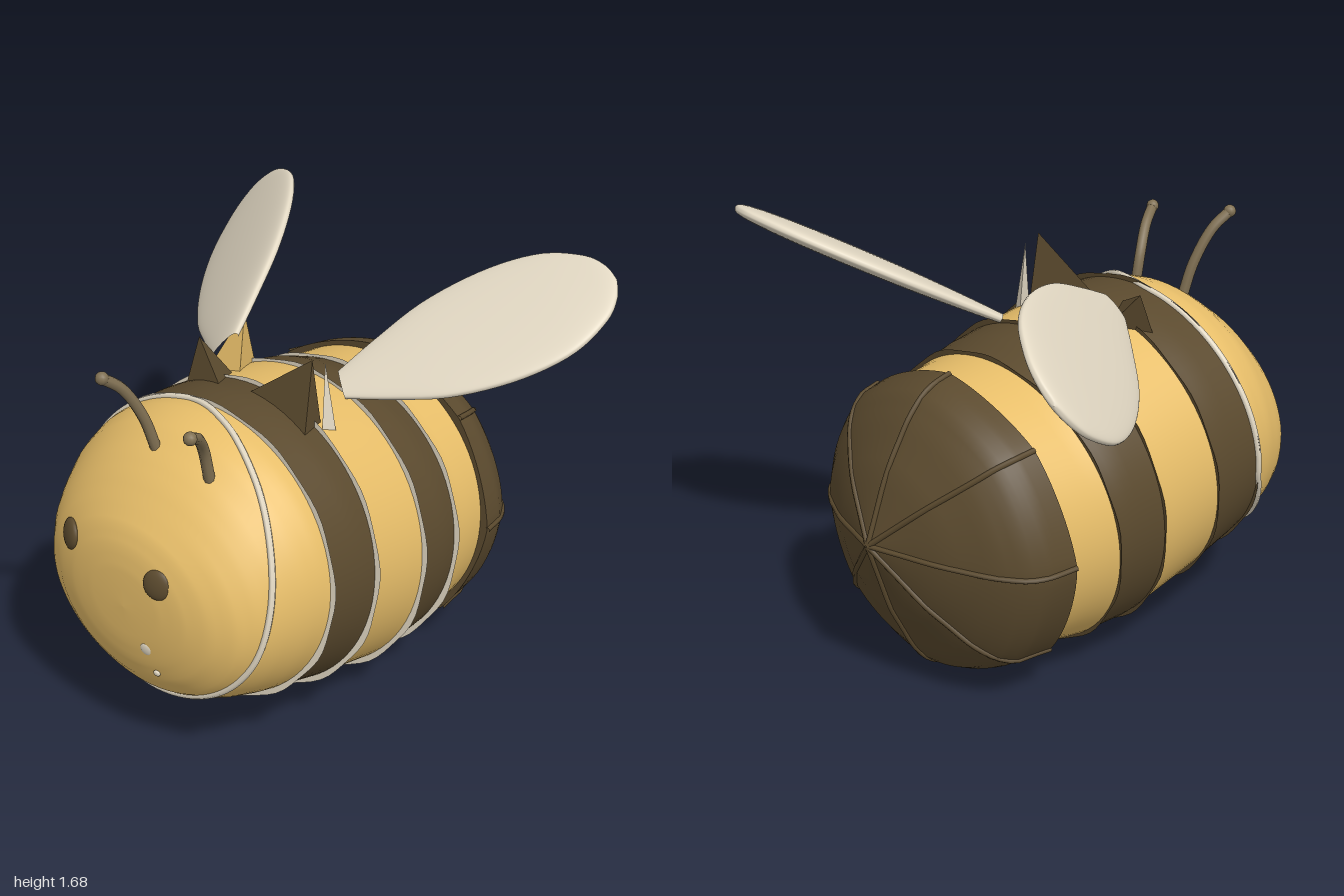
import * as THREE from 'three';
import { ConvexGeometry } from 'three/addons/geometries/ConvexGeometry.js';

const mat = (name, color) => Object.assign(new THREE.MeshStandardMaterial({ color }), { name });

// Body cross-sections from nose to tail: z, centre height, half width, half height
const SECTIONS = [
  [0.92, 0.67, 0, 0], [0.915, 0.67, 0.16, 0.14], [0.9, 0.67, 0.27, 0.23], [0.87, 0.665, 0.37, 0.31],
  [0.82, 0.665, 0.46, 0.38], [0.76, 0.68, 0.515, 0.44], [0.7, 0.695, 0.55, 0.485], [0.6, 0.715, 0.595, 0.54],
  [0.5, 0.72, 0.62, 0.57], [0.3, 0.69, 0.63, 0.605], [0, 0.63, 0.63, 0.62], [-0.2, 0.615, 0.62, 0.6],
  [-0.32, 0.6, 0.6, 0.565], [-0.45, 0.595, 0.58, 0.555], [-0.58, 0.585, 0.565, 0.55], [-0.65, 0.585, 0.53, 0.52],
  [-0.72, 0.59, 0.455, 0.44], [-0.82, 0.605, 0.28, 0.27], [-0.92, 0.62, 0, 0],
];

// Point on the body at depth z and angle a, pushed outward by off
function bodyPoint(z, a, off = 0) {
  let i = 0;
  while (i < SECTIONS.length - 2 && z < SECTIONS[i + 1][0]) i++;
  const A = SECTIONS[i], B = SECTIONS[i + 1];
  const t = THREE.MathUtils.clamp((A[0] - z) / (A[0] - B[0]), 0, 1);
  const [cy, rx, ry] = [1, 2, 3].map(k => A[k] + (B[k] - A[k]) * t);
  return new THREE.Vector3((rx + off) * Math.cos(a), cy + (ry + off) * Math.sin(a), z);
}

// Closed loft of rings; point(t, angle) runs from the first ring to the last
function loft(rows, point, flip = false) {
  const n = 80, pos = [], idx = [];
  for (let i = 0; i <= rows; i++)
    for (let j = 0; j < n; j++) pos.push(...point(i / rows, j / n * Math.PI * 2).toArray());
  for (let i = 0; i < rows; i++)
    for (let j = 0; j < n; j++) {
      const a = i * n + j, b = i * n + (j + 1) % n, c = a + n, d = b + n;
      idx.push(...(flip ? [a, b, c, b, d, c] : [a, c, b, b, c, d]));
    }
  const g = new THREE.BufferGeometry();
  g.setAttribute('position', new THREE.Float32BufferAttribute(pos, 3));
  g.setIndex(idx);
  g.computeVertexNormals();
  return g;
}

export function createModel() {
  const root = new THREE.Group();
  root.name = 'bee';
  const yellow = mat('honey yellow', 0xebc16b);
  const brown = mat('dark brown', 0x5b4a2e);
  const cream = mat('wing cream', 0xe4dac5);
  const horn = mat('antenna brown', 0x7f6f52);

  const add = (name, geo, material, parent = root) => {
    const m = new THREE.Mesh(geo, material);
    m.name = name;
    parent.add(m);
    return m;
  };
  const V = (x, y, z) => new THREE.Vector3(x, y, z);

  // Slanted band boundaries: side depth and lean
  const edges = [[0.5, -0.07], [0.26, -0.07], [-0.025, -0.06], [-0.245, -0.065], [-0.46, -0.05]];
  const edgeZ = (k, a) => edges[k][0] + edges[k][1] * Math.sin(a);

  // Rounded head
  add('head', loft(28, (t, a) => bodyPoint(0.92 + (edgeZ(0, a) - 0.92) * t * t, a)), yellow);

  // Striped bands
  for (let k = 0; k < 4; k++) {
    const z = (t, a) => edgeZ(k, a) + (edgeZ(k + 1, a) - edgeZ(k, a)) * t;
    add('bodyBand', loft(6, (t, a) => bodyPoint(z(t, a), a)), k % 2 ? yellow : brown);
  }

  // Scalloped tail cap with ribs meeting at the point
  const tailZ = (t, a) => edgeZ(4, a) + (-0.92 - edgeZ(4, a)) * t;
  const tailOff = (t, a) => (0.035 - 0.016 * Math.abs(Math.sin(4 * a))) * (1 - t);
  add('tail', loft(20, (t, a) => bodyPoint(tailZ(t, a), a, tailOff(t, a))), brown);
  for (let i = 0; i < 8; i++) {
    const a = i * Math.PI / 4, pts = [];
    for (let j = 0; j <= 10; j++) pts.push(bodyPoint(tailZ(j / 10, a), a, 0.034 * (1 - j / 10)));
    add('tailRib', new THREE.TubeGeometry(new THREE.CatmullRomCurve3(pts), 24, 0.011, 6), brown);
  }
  add('tailLip', loft(1, (t, a) => bodyPoint(edgeZ(4, a), a, tailOff(0, a) * t)), brown);

  // Thin raised seams between bands, wider on the left: pale in front, dark behind
  for (let k = 0; k < 4; k++) {
    const lip = (t, a) => bodyPoint(edgeZ(k, a), a, (0.016 + 0.006 * Math.cos(a) + 0.004 * Math.sin(a * 13)) * t);
    add('seamFront', loft(1, lip), cream);
    add('seamBack', loft(1, lip, true), brown);
  }

  // Pale lopsided seam around the face
  const facePts = [];
  for (let i = 0; i < 48; i++) {
    const a = i / 48 * Math.PI * 2;
    const z = 0.61 + 0.13 * Math.cos(a) - 0.165 * Math.sin(a) + 0.03 * Math.sin(2 * a);
    facePts.push(bodyPoint(Math.max(z, edgeZ(0, a)), a, 0.001));
  }
  add('faceSeam', new THREE.TubeGeometry(new THREE.CatmullRomCurve3(facePts, true), 120, 0.013, 6, true), cream);

  // Eyes and small face marks, flattened onto the head
  const spot = (name, x, y, z, r, depth, m) => {
    const s = add(name, new THREE.SphereGeometry(1, 20, 14), m);
    s.position.set(x, y, z);
    s.scale.set(r, r, depth);
    s.lookAt(x * 2, y + (y - 0.67) * 0.7, z + 0.6);
  };
  spot('eye', -0.31, 0.83, 0.866, 0.06, 0.022, brown);
  spot('eye', 0.16, 0.82, 0.9, 0.058, 0.022, brown);
  spot('faceMark', 0.1, 0.52, 0.906, 0.028, 0.008, cream);
  spot('faceMark', 0.13, 0.42, 0.889, 0.014, 0.008, cream);

  // Antennae with rounded tips
  const antennae = [
    [V(-0.06, 1.19, 0.66), V(-0.08, 1.33, 0.7), V(-0.11, 1.46, 0.77), V(-0.135, 1.52, 0.84)],
    [V(0.2, 1.15, 0.66), V(0.21, 1.3, 0.7), V(0.25, 1.39, 0.77), V(0.29, 1.44, 0.85)],
  ];
  for (const pts of antennae) {
    const g = new THREE.Group();
    g.name = 'antenna';
    root.add(g);
    add('stalk', new THREE.TubeGeometry(new THREE.CatmullRomCurve3(pts), 20, 0.021, 8), horn, g);
    add('tip', new THREE.SphereGeometry(0.025, 12, 10), horn, g).position.copy(pts[3]);
  }

  // Smooth teardrop wings: flat oval cross-sections along an axis, tilted by a width direction
  const half = new THREE.SplineCurve([[0, 0.07], [0.15, 0.155], [0.35, 0.25], [0.58, 0.29], [0.78, 0.265],
    [0.92, 0.175], [0.98, 0.085], [1, 0]].map(p => new THREE.Vector2(...p)));
  const wing = (name, base, tip, across) => {
    const u = tip.clone().sub(base), len = u.length();
    u.normalize();
    const v = across.clone().addScaledVector(u, -across.dot(u)).normalize();
    const w = u.clone().cross(v);
    const blade = loft(36, (t, a) => {
      const p = half.getPoint(t), s = Math.sin(a);
      const thick = 0.036 * Math.sqrt(Math.max(p.y, 0) / 0.29);
      return base.clone().addScaledVector(u, p.x * len).addScaledVector(v, p.y * Math.cos(a))
        .addScaledVector(w, thick * Math.sign(s) * Math.abs(s) ** 0.7);
    }, true);
    add(name, blade, cream);
  };
  wing('leftWing', V(0.18, 1.23, -0.09), V(0.92, 1.65, -0.76), V(-0.225, 0.07, -0.15));
  wing('rightWing', V(-0.23, 1.33, 0.1), V(-0.95, 1.46, -0.9), V(0.17, 0.22, -0.08));

  // Pointed tufts at the wing roots
  const tuft = (name, m, ...pts) => add(name, new ConvexGeometry(pts.map(p => V(...p))), m);
  tuft('collarTuft', brown, [-0.29, 1.38, 0.18], [-0.3, 1.12, 0.28], [-0.1, 1.28, 0.28], [-0.18, 1.24, 0.12]);
  tuft('collarTuft', brown, [0.28, 1.48, 0.2], [0.02, 1.28, 0.25], [0.31, 1.18, 0.28], [0.28, 1.2, 0.15]);
  tuft('backTuft', yellow, [-0.25, 1.42, -0.03], [-0.36, 1.14, 0.1], [-0.16, 1.24, 0.1], [-0.28, 1.16, -0.12]);
  tuft('wingRoot', cream, [0.29, 1.45, 0.14], [0.31, 1.16, 0.18], [0.33, 1.16, 0.12], [0.28, 1.18, 0.1]);

  return root;
}
